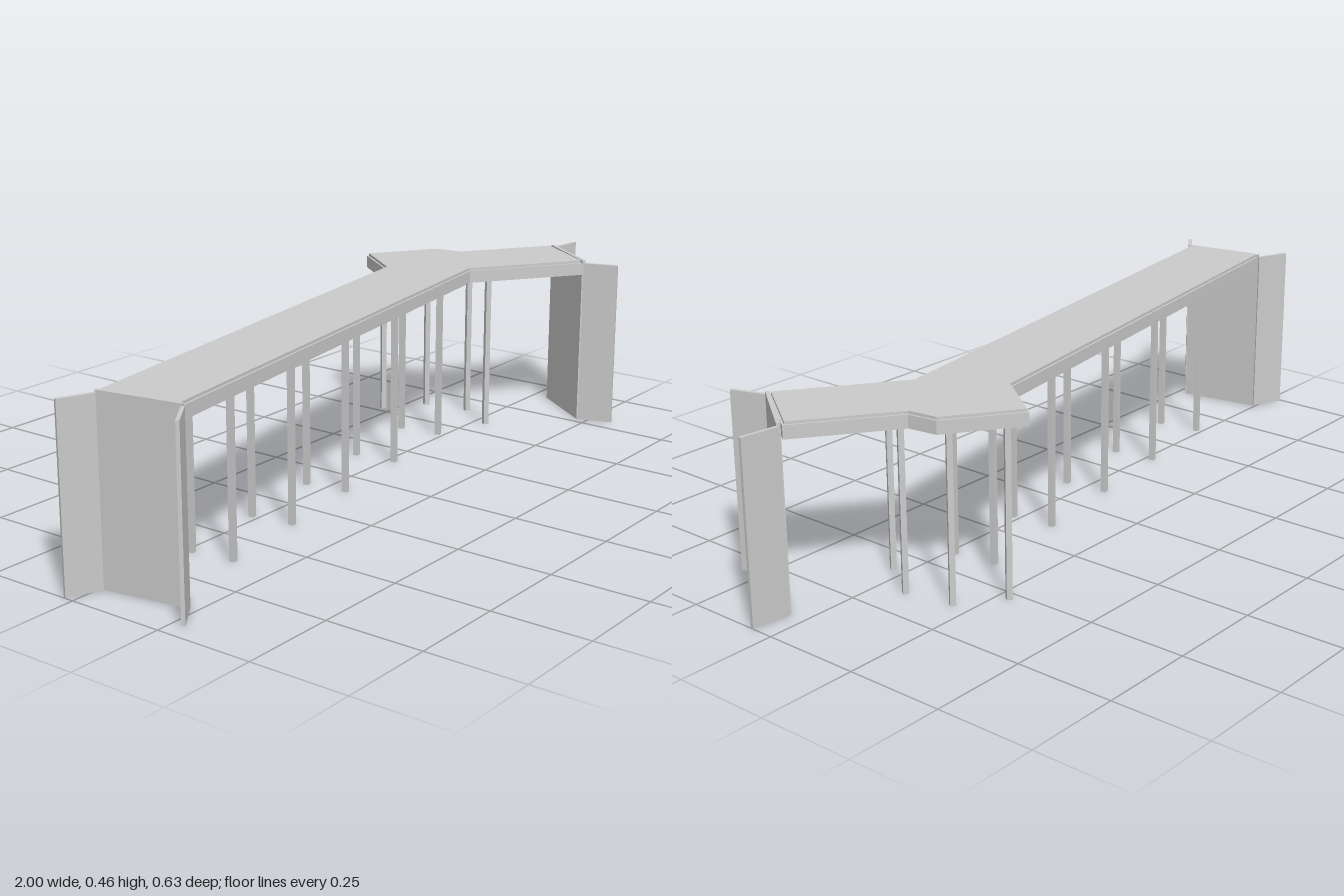
import * as THREE from 'three';

const DECK_BOTTOM = 0.42, BAND_TOP = 0.453, DECK_TOP = 0.46;

// Deck plan as [x, z] corners
const PLAN = [
  [-0.912, 0.012], [0.385, -0.175], [0.49, -0.315], [0.66, -0.193], [0.671, -0.118],
  [0.893, 0.045], [0.774, 0.22], [0.505, 0.024], [-0.876, 0.222],
];

const material = new THREE.MeshStandardMaterial({ color: 0xcccccc, flatShading: true });

function addMesh(parent, name, geometry) {
  const mesh = new THREE.Mesh(geometry, material);
  mesh.name = name;
  parent.add(mesh);
  return mesh;
}

// Move every edge of the plan inwards by d
function inset(points, d) {
  return points.map((p, i) => {
    const a = points[(i + points.length - 1) % points.length];
    const b = points[(i + 1) % points.length];
    const u = new THREE.Vector2(p[0] - a[0], p[1] - a[1]).normalize();
    const v = new THREE.Vector2(b[0] - p[0], b[1] - p[1]).normalize();
    const n = new THREE.Vector2(-u.y - v.y, u.x + v.x);
    n.multiplyScalar(d / (1 + u.dot(v)));
    return [p[0] + n.x, p[1] + n.y];
  });
}

// Horizontal slab between two heights
function slab(points, y0, y1) {
  const shape = new THREE.Shape(points.map(([x, z]) => new THREE.Vector2(x, -z)));
  const geometry = new THREE.ExtrudeGeometry(shape, { depth: y1 - y0, bevelEnabled: false });
  return geometry.rotateX(-Math.PI / 2).translate(0, y0, 0);
}

// Upright wall standing on the line from a to b
function addWall(parent, name, a, b, height, thickness) {
  const dx = b[0] - a[0], dz = b[1] - a[1];
  const wall = addMesh(parent, name, new THREE.BoxGeometry(Math.hypot(dx, dz), height, thickness));
  wall.position.set((a[0] + b[0]) / 2, height / 2, (a[1] + b[1]) / 2);
  wall.rotation.y = -Math.atan2(dz, dx);
}

// End wall between two splayed wing walls
function addAbutment(parent, name, cornerA, cornerB, tipA, tipB) {
  const group = new THREE.Group();
  group.name = name;
  addWall(group, 'endWall', cornerA, cornerB, DECK_TOP, 0.01);
  addWall(group, 'wingWall', cornerA, tipA, BAND_TOP, 0.009);
  addWall(group, 'wingWall', cornerB, tipB, BAND_TOP, 0.009);
  parent.add(group);
}

// Two square columns, turned to line up with each other
function addColumnPair(parent, a, b) {
  const group = new THREE.Group();
  group.name = 'columnPair';
  const angle = -Math.atan2(b[1] - a[1], b[0] - a[0]);
  for (const [x, z] of [a, b]) {
    const column = addMesh(group, 'column', new THREE.BoxGeometry(0.014, DECK_BOTTOM, 0.014));
    column.position.set(x, DECK_BOTTOM / 2, z);
    column.rotation.y = angle;
  }
  parent.add(group);
}

export function createModel() {
  const model = new THREE.Group();
  model.name = 'forkedBridge';

  // Deck: structural slab with a slightly inset road surface
  addMesh(model, 'deckSlab', slab(PLAN, DECK_BOTTOM, BAND_TOP));
  addMesh(model, 'roadSurface', slab(inset(PLAN, 0.005), BAND_TOP, DECK_TOP));

  // Abutments at both ends
  addAbutment(model, 'rightAbutment', [-0.912, 0.01], [-0.875, 0.224], [-0.998, -0.026], [-0.953, 0.28]);
  addAbutment(model, 'leftAbutment', [0.9, 0.049], [0.776, 0.222], [0.999, 0.062], [0.806, 0.312]);

  // Column pairs under the long span
  for (let i = 0; i < 5; i++) {
    const x = -0.626 + i * 0.26, z = 0.074 - i * 0.037;
    addColumnPair(model, [x - 0.008, z - 0.056], [x + 0.008, z + 0.056]);
  }

  // Column pairs under the two short branches
  addColumnPair(model, [0.526, -0.281], [0.632, -0.203]);
  addColumnPair(model, [0.655, -0.077], [0.58, 0.035]);

  return model;
}
